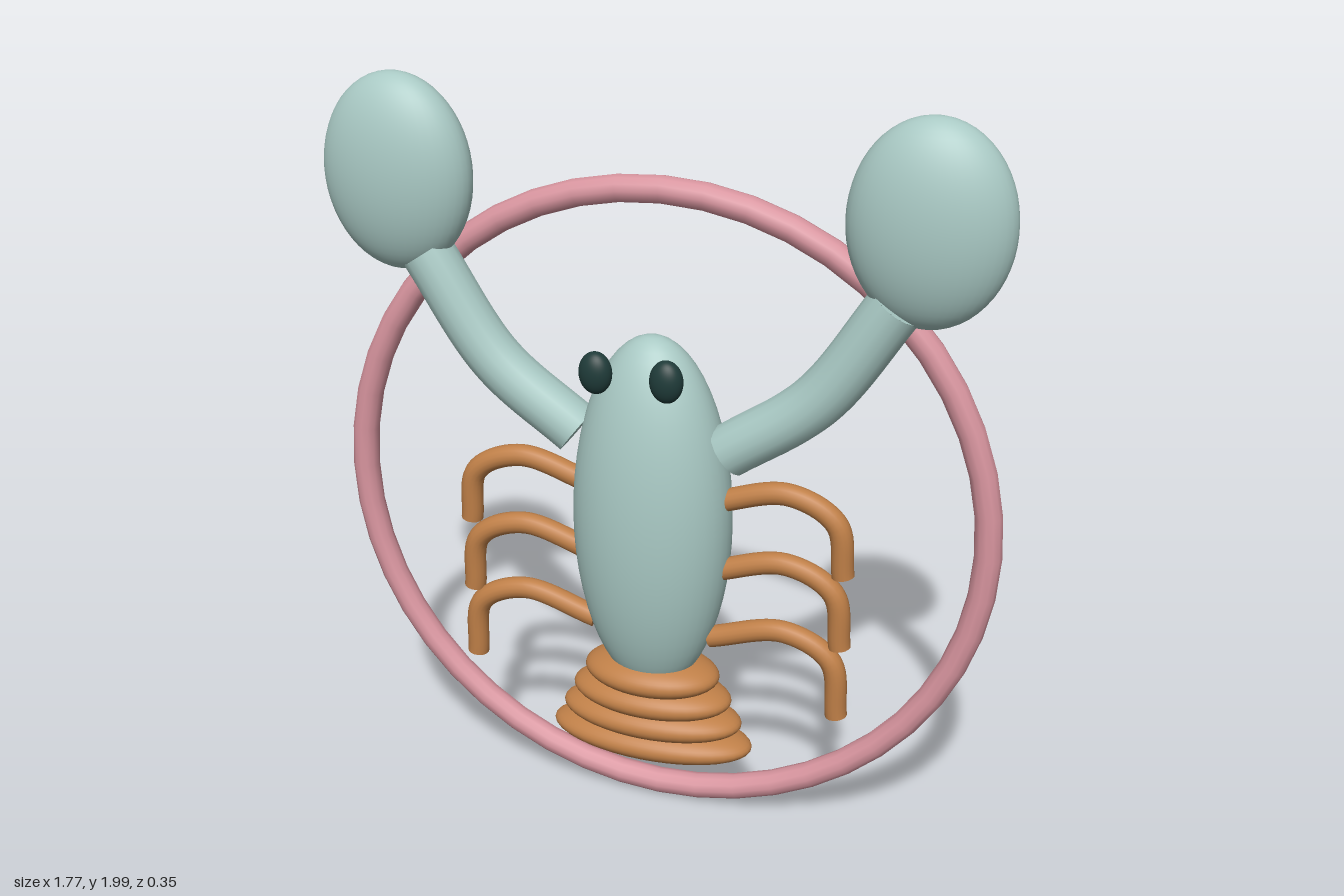
import * as THREE from 'three';

const mat = (color) => new THREE.MeshStandardMaterial({ color });
const Z = -0.012; // depth of the animal's middle plane

function addMesh(parent, name, geometry, material) {
  const mesh = new THREE.Mesh(geometry, material);
  mesh.name = name;
  parent.add(mesh);
  return mesh;
}

// Stretched sphere with given centre and half sizes
function ellipsoid(parent, name, center, half, material) {
  const mesh = addMesh(parent, name, new THREE.SphereGeometry(1, 40, 28), material);
  mesh.position.set(...center);
  mesh.scale.set(...half);
  return mesh;
}

// Round limb along a smooth path, closed by a flat disc at each end
function limb(parent, name, points, radius, material) {
  const group = new THREE.Group();
  group.name = name;
  parent.add(group);
  const curve = new THREE.CatmullRomCurve3(points.map((p) => new THREE.Vector3(...p)));
  addMesh(group, name + 'Tube', new THREE.TubeGeometry(curve, 32, radius, 16), material);
  for (const t of [0, 1]) {
    const cap = addMesh(group, name + 'Cap', new THREE.CircleGeometry(radius, 16), material);
    const outward = curve.getTangentAt(t).multiplyScalar(t ? 1 : -1);
    cap.position.copy(curve.getPointAt(t));
    cap.quaternion.setFromUnitVectors(new THREE.Vector3(0, 0, 1), outward);
  }
}

export function createModel() {
  const model = new THREE.Group();
  model.name = 'lobsterInRing';
  const shell = mat(0xa9c9c4);
  const orange = mat(0xc08048);
  const pink = mat(0xd8959f);
  const dark = mat(0x1f3b39);

  // Ring behind the animal
  const ring = addMesh(model, 'ring', new THREE.TorusGeometry(0.852, 0.035, 12, 48), pink);
  ring.position.set(0, 0.897, -0.08);

  ellipsoid(model, 'body', [0, 0.9, -0.014], [0.21, 0.5, 0.158], shell);

  // Tail segments widen downwards
  [[0.447, 0.185], [0.381, 0.22], [0.316, 0.25], [0.25, 0.28]].forEach(([y, w], i) =>
    ellipsoid(model, 'tailSegment' + (i + 1), [0, y, Z], [w, 0.056, 0.118], orange));

  // Paired parts
  for (const [side, s] of [['left', 1], ['right', -1]]) {
    ellipsoid(model, side + 'Eye', [s * 0.09, 1.35, 0.148], [0.042, 0.054, 0.031], dark);
    ellipsoid(model, side + 'Claw', [s * 0.667, 1.75, Z], [0.198, 0.25, 0.104], shell);
    limb(model, side + 'Arm',
      [[s * 0.2, 1.12, -0.008], [s * 0.42, 1.285, -0.01], [s * 0.6, 1.55, -0.012]], 0.069, shell);

    // Three walking legs, each one lower and slightly longer
    for (let i = 0; i < 3; i++) {
      const y = 1.025 - i * 0.196;
      limb(model, side + 'Leg' + (i + 1), [
        [s * 0.16, y - 0.055, Z], [s * 0.36, y, -0.005],
        [s * 0.485, y - 0.06, -0.003], [s * 0.507, y - 0.205 - i * 0.009, -0.008],
      ], 0.029, orange);
    }
  }
  return model;
}
